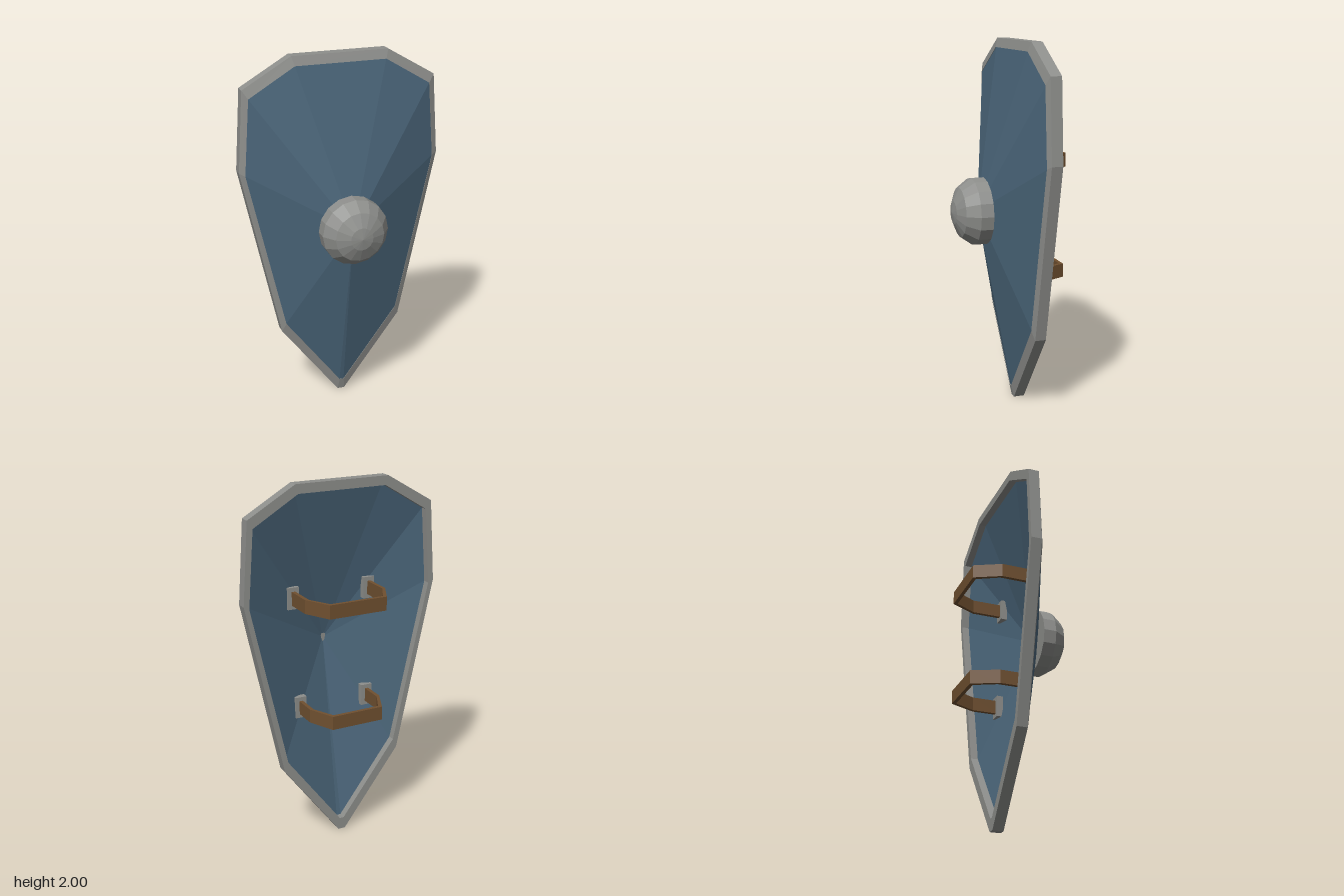
import * as THREE from 'three';

const steel = new THREE.MeshStandardMaterial({ color: 0x8e8f8c, name: 'steel grey', flatShading: true });
const blue = new THREE.MeshStandardMaterial({ color: 0x4a6579, name: 'slate blue', flatShading: true });
const leather = new THREE.MeshStandardMaterial({ color: 0x705030, name: 'leather brown', flatShading: true });

// Mirror a right-hand half outline (bottom to top) into a closed loop
const mirrored = (half) => [...half, ...half.slice().reverse().map(([x, y]) => [-x, y])];
const outer = mirrored([[0.02, 0], [0.35, 0.44], [0.56, 1.405], [0.53, 1.845], [0.265, 2]]);
const inner = mirrored([[0.012, 0.068], [0.328, 0.49], [0.53, 1.39], [0.5, 1.8], [0.25, 1.95]]);
const centre = inner.map(() => [0, 1.09]);
const ring = (loop, z) => loop.map(([x, y]) => [x, y, z]);

// Skin a list of rings with quads
function loft(rings) {
  const n = rings[0].length;
  const index = [];
  for (let r = 0; r < rings.length - 1; r++) {
    for (let i = 0; i < n; i++) {
      const a = r * n + i, b = r * n + (i + 1) % n;
      index.push(a, b, b + n, a, b + n, a + n);
    }
  }
  const g = new THREE.BufferGeometry();
  g.setAttribute('position', new THREE.Float32BufferAttribute(rings.flat(2), 3));
  g.setIndex(index);
  const flat = g.toNonIndexed();
  flat.computeVertexNormals();
  return flat;
}

function add(parent, name, geometry, material) {
  const mesh = new THREE.Mesh(geometry, material);
  mesh.name = name;
  parent.add(mesh);
  return mesh;
}

// Angular grip, bent in plan and extruded upwards, with a plate under each foot
function makeGrip(name, y, half, corner, footZ) {
  const grip = new THREE.Group();
  grip.name = name;
  const t = 0.02;
  const side = [[half, -footZ], [half, 0.155], [corner, 0.297]];
  const inside = [[half - t, -footZ], [half - t, 0.16], [corner - 0.013, 0.297 - t]];
  const flip = (p) => p.slice().reverse().map(([x, z]) => [-x, z]);
  const points = [...side, ...flip(side), ...inside.map(([x, z]) => [-x, z]), ...inside.slice().reverse()];
  const shape = new THREE.Shape(points.map(([x, z]) => new THREE.Vector2(x, z)));
  const strap = new THREE.ExtrudeGeometry(shape, { depth: 0.075, bevelEnabled: false });
  strap.rotateX(-Math.PI / 2);
  add(grip, 'strap', strap, leather).position.y = y - 0.0375;
  for (const s of [-1, 1]) {
    add(grip, 'strapPlate', new THREE.BoxGeometry(0.065, 0.12, 0.035), steel)
      .position.set(s * (half - t / 2), y, footZ - 0.005);
  }
  return grip;
}

export function createModel() {
  const shield = new THREE.Group();
  shield.name = 'shield';

  // Raised metal border with a slightly sloped front
  add(shield, 'rim', loft([
    ring(inner, -0.12), ring(outer, -0.12), ring(outer, -0.06), ring(inner, -0.045), ring(inner, -0.12),
  ]), steel);

  // Faceted body, convex in front and hollow behind
  add(shield, 'frontPanel', loft([ring(inner, -0.048), ring(centre, 0.147)]), blue);
  add(shield, 'backPanel', loft([ring(centre, 0.115), ring(inner, -0.08)]), blue);

  // Domed boss
  const profile = [[0, 0], [0.183, 0], [0.183, 0.07], [0.135, 0.138], [0.062, 0.17], [0, 0.18]];
  const boss = new THREE.LatheGeometry(profile.map(([r, h]) => new THREE.Vector2(r, h)), 16);
  boss.rotateX(Math.PI / 2);
  add(shield, 'boss', boss, steel).position.set(0, 1.09, 0.11);

  shield.add(makeGrip('upperGrip', 1.372, 0.237, 0.165, 0.025));
  shield.add(makeGrip('lowerGrip', 0.757, 0.213, 0.148, -0.005));
  return shield;
}
